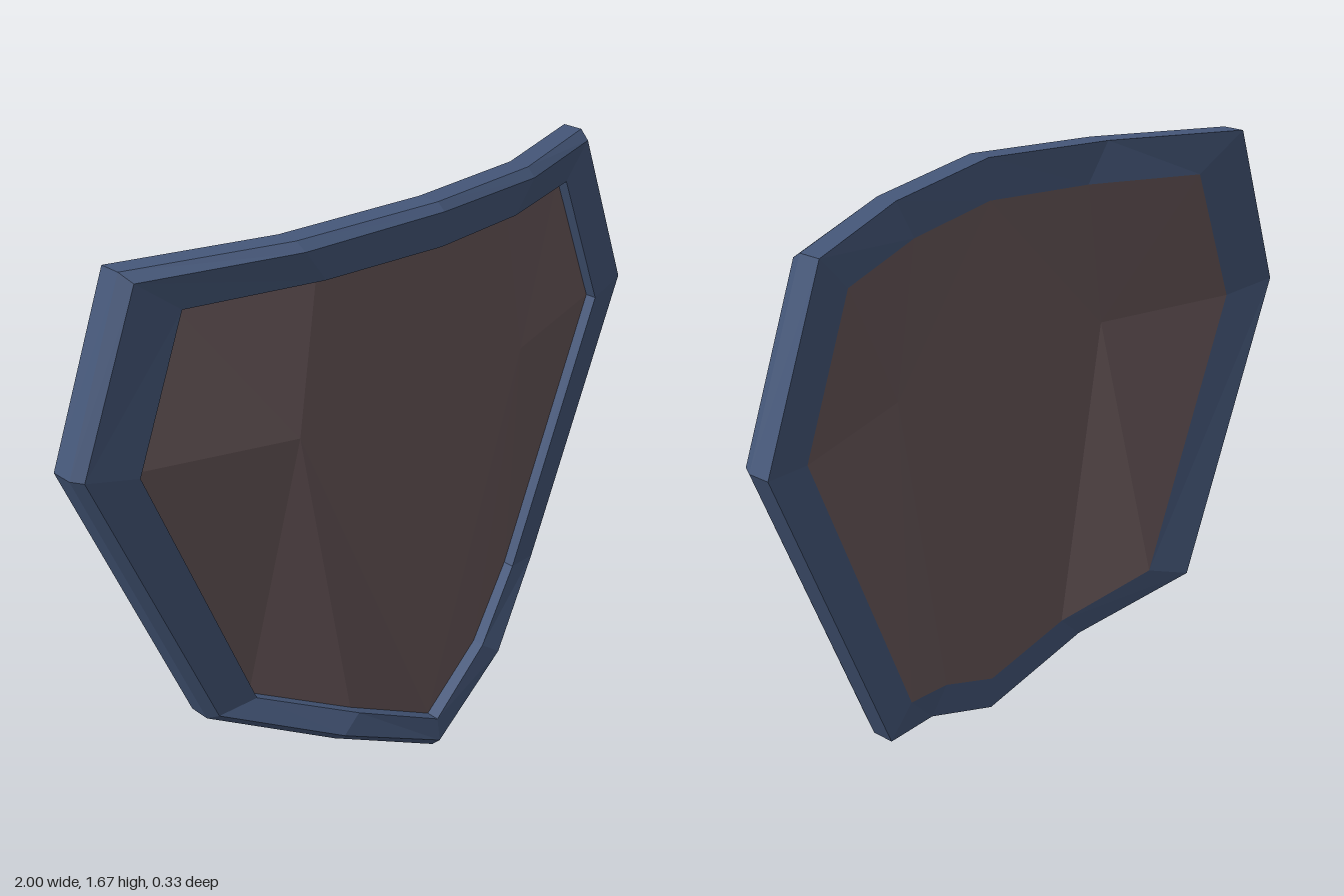
import * as THREE from 'three';

// Half outline, top centre to bottom centre: [x, y] of outer edge, bevel edge and inner edge,
// then the z of back edge, side edge, bevel edge, inner edge, panel front, panel back
const HALF = [
  { outer: [0, 1.67], bevel: [0, 1.65], inner: [0, 1.555], z: [0.07, 0.135, 0.16, 0.152, 0.115, 0.065] },
  { outer: [0.41, 1.652], bevel: [0.405, 1.63], inner: [0.34, 1.54], z: [0, 0.065, 0.095, 0.092, 0.055, 0.01] },
  { outer: [0.815, 1.635], bevel: [0.8, 1.613], inner: [0.685, 1.523], z: [-0.165, -0.1, -0.06, -0.035, -0.07, -0.115] },
  { outer: [1, 1.15], bevel: [0.98, 1.15], inner: [0.84, 1.125], z: [-0.165, -0.1, -0.065, -0.035, -0.07, -0.12] },
  { outer: [0.638, 0.285], bevel: [0.625, 0.307], inner: [0.512, 0.325], z: [-0.165, -0.1, -0.06, -0.035, -0.07, -0.115] },
  { outer: [0.32, 0.145], bevel: [0.312, 0.168], inner: [0.25, 0.212], z: [0, 0.065, 0.1, 0.092, 0.055, 0.01] },
  { outer: [0, 0], bevel: [0, 0.03], inner: [0, 0.1], z: [0.07, 0.135, 0.165, 0.155, 0.115, 0.065] },
];
const EDGE = ['outer', 'outer', 'bevel', 'inner', 'inner', 'inner'];

// Mirrors the half outline into a closed loop for one edge of the rim section
function edgeLoop(k) {
  const right = HALF.map((p) => [...p[EDGE[k]], p.z[k]]);
  const left = right.slice(1, -1).reverse().map(([x, y, z]) => [-x, y, z]);
  return [...right, ...left];
}

function facetedMesh(name, triangles, material) {
  const geometry = new THREE.BufferGeometry();
  geometry.setAttribute('position', new THREE.Float32BufferAttribute(triangles.flat(2), 3));
  geometry.computeVertexNormals();
  const mesh = new THREE.Mesh(geometry, material);
  mesh.name = name;
  return mesh;
}

// Quads between two neighbouring loops
function strip(a, b) {
  return a.flatMap((p, i) => {
    const j = (i + 1) % a.length;
    return [[p, b[i], b[j]], [p, b[j], a[j]]];
  });
}

// Each half of the panel is a fan around a raised point
function panelFace(k, midZ, centreZ, back) {
  const ring = HALF.map((p) => [...p.inner, p.z[k]]);
  ring.push([0, 1.12, centreZ]);
  const hub = [0.41, 1.12, midZ];
  const flip = ([x, y, z]) => [-x, y, z];
  return ring.flatMap((p, i) => {
    const q = ring[(i + 1) % ring.length];
    const right = [hub, q, p];
    const left = [hub, p, q].map(flip);
    return back ? [right.reverse(), left.reverse()] : [right, left];
  });
}

export function createModel() {
  const blue = new THREE.MeshStandardMaterial({ color: 0x455779 });
  blue.name = 'slate blue';
  const brown = new THREE.MeshStandardMaterial({ color: 0x685759 });
  brown.name = 'dull brown';

  const group = new THREE.Group();
  group.name = 'shield';

  // Rim: side, bevel, front face, inner wall and back band
  const loops = EDGE.map((_, k) => edgeLoop(k));
  const rim = [[0, 1], [1, 2], [2, 3], [3, 4], [5, 0]].flatMap(([a, b]) => strip(loops[a], loops[b]));
  group.add(facetedMesh('rim', rim, blue));

  // Curved panel, front and back
  group.add(facetedMesh('panelFront', panelFace(4, 0.06, 0.118, false), brown));
  group.add(facetedMesh('panelBack', panelFace(5, 0.012, 0.068, true), brown));
  return group;
}
